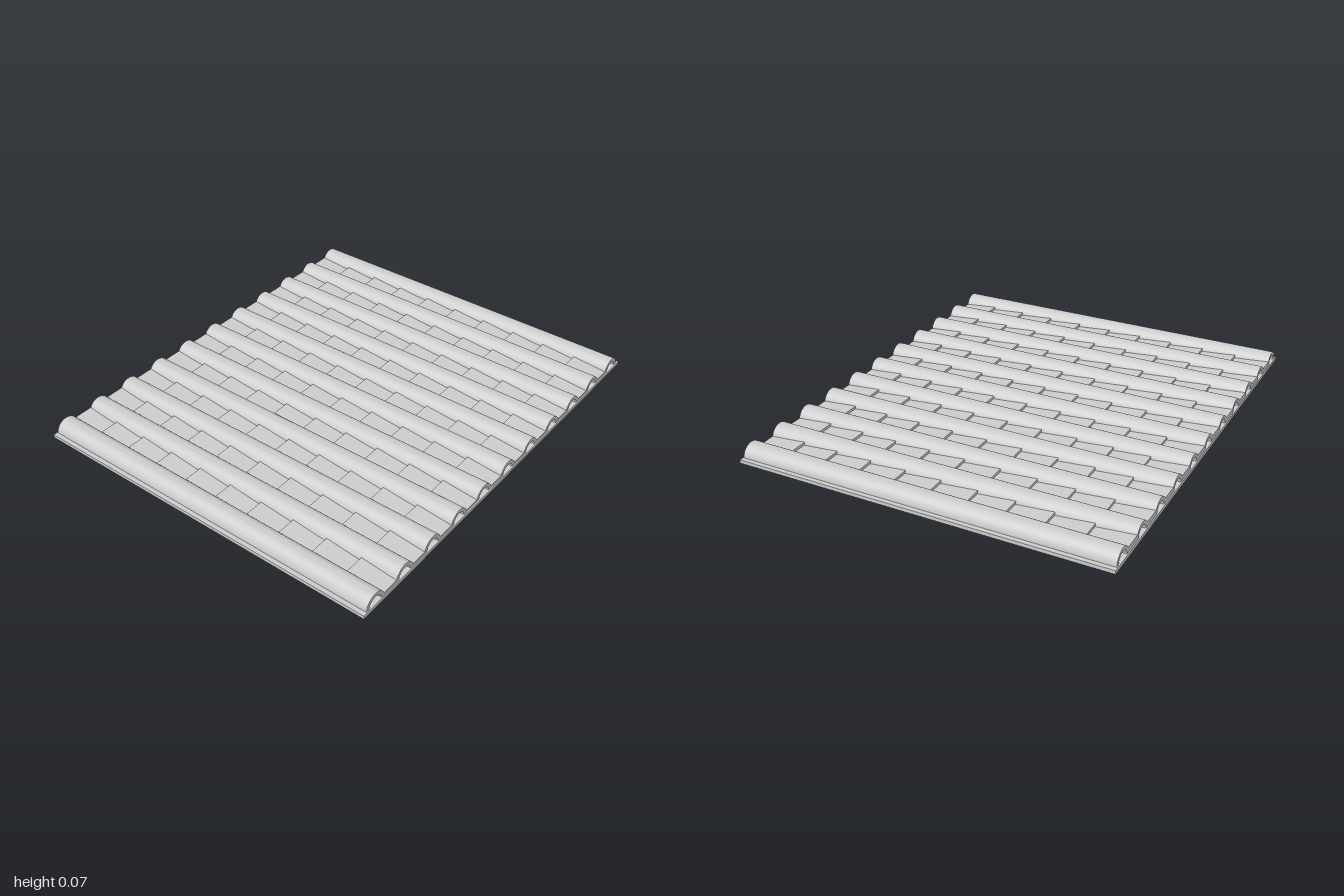
import * as THREE from 'three';
import { toCreasedNormals } from 'three/addons/utils/BufferGeometryUtils.js';

const WIDTH = 1.69;      // panel size along x
const LENGTH = 2;        // panel size along z
const BASE = 0.016;      // base board thickness
const RIDGES = 11;
const PITCH = 0.185;     // ridge spacing along z
const COURSES = 10;      // overlapping tiles in each valley

export function createModel() {
  const group = new THREE.Group();
  group.name = 'roofPanel';
  const material = new THREE.MeshStandardMaterial({ color: 0xcccccc });

  const add = (name, geometry, x, y, z) => {
    const mesh = new THREE.Mesh(geometry, material);
    mesh.name = name;
    mesh.position.set(x, y, z);
    group.add(mesh);
  };

  // Flat board under the tiles
  add('baseBoard', new THREE.BoxGeometry(WIDTH, BASE, LENGTH), 0, BASE / 2, 0);

  // Hollow half-round ridge tile, running along x
  const ridgeLength = 1.68;
  const arch = new THREE.Shape();
  arch.absarc(0, 0, 0.055, 0, Math.PI, false);
  arch.absarc(0, 0, 0.038, Math.PI, 0, true);
  arch.closePath();
  let ridge = new THREE.ExtrudeGeometry(arch, { depth: ridgeLength, bevelEnabled: false, curveSegments: 20 });
  ridge.translate(0, 0, -ridgeLength / 2).rotateY(Math.PI / 2);
  ridge = toCreasedNormals(ridge, Math.PI / 5);

  // Valley strip: sloping tiles, each with a small step at its -x end
  const low = 0.026, high = 0.038, valleyWidth = 0.09;
  const x0 = -ridgeLength / 2, step = ridgeLength / COURSES;
  const profile = new THREE.Shape();
  profile.moveTo(x0, BASE - 0.004);
  profile.lineTo(-x0, BASE - 0.004);
  for (let i = COURSES - 1; i >= 0; i--) {
    profile.lineTo(x0 + (i + 1) * step, low);
    profile.lineTo(x0 + i * step, high);
  }
  profile.closePath();
  const valley = new THREE.ExtrudeGeometry(profile, { depth: valleyWidth, bevelEnabled: false });
  valley.translate(0, 0, -valleyWidth / 2);

  // Alternate ridges and valleys across the panel
  for (let i = 0; i < RIDGES; i++) {
    const z = (i - (RIDGES - 1) / 2) * PITCH;
    add('ridgeTile' + (i + 1), ridge, 0, 0.012, z);
    if (i < RIDGES - 1) add('valleyTiles' + (i + 1), valley, 0, 0, z + PITCH / 2);
  }

  return group;
}
